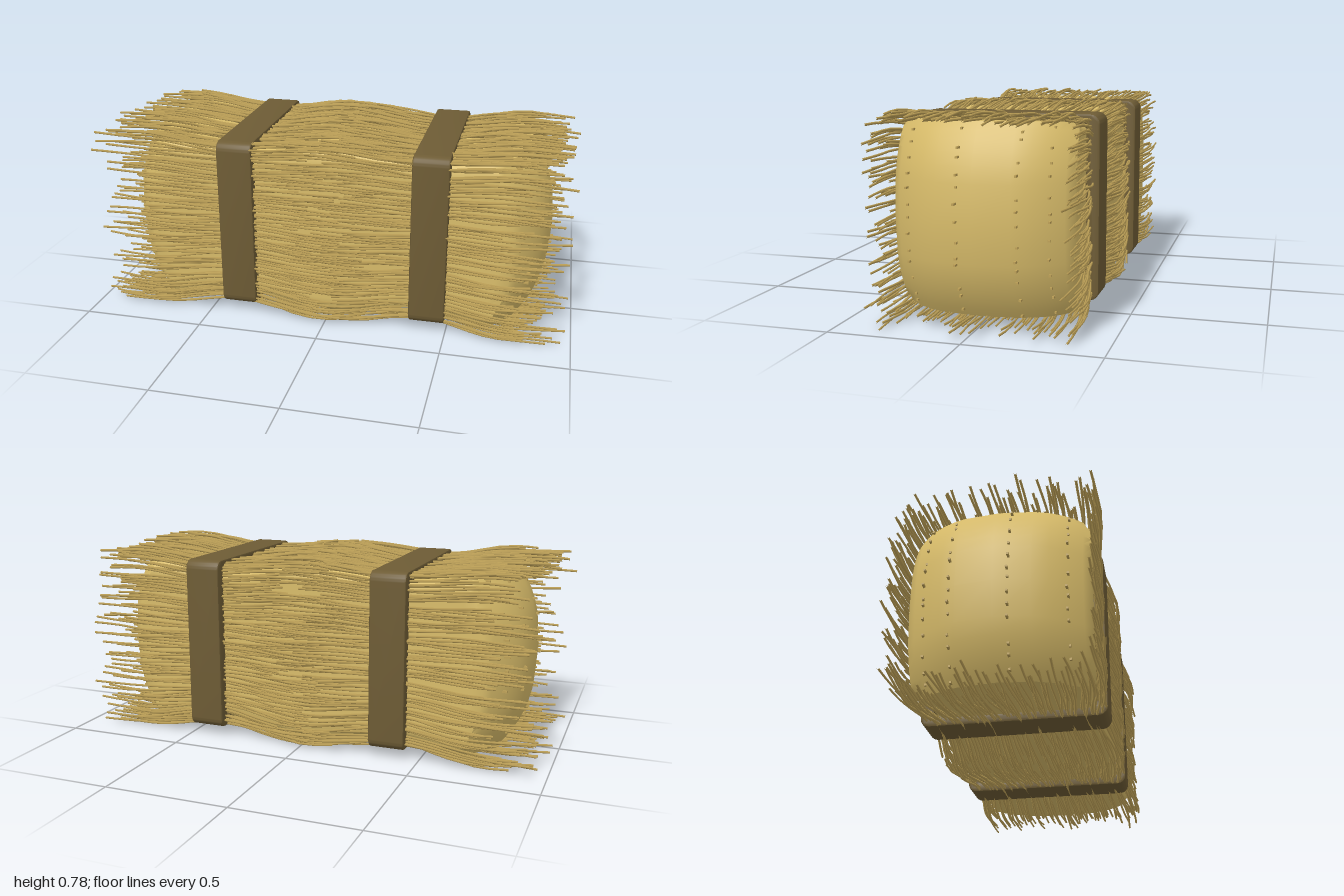
import * as THREE from 'three';
import { mergeGeometries, mergeVertices, toCreasedNormals } from 'three/addons/utils/BufferGeometryUtils.js';

const CENTER_Y = 0.405;

// small seeded generator
let seed = 7;
const rand = (a = 0, b = 1) => {
  seed = (seed * 16807) % 2147483647;
  return a + (b - a) * (seed / 2147483647);
};

// half thickness along the bale: full in the middle, pinched at the straps, flared at the ends
const STATIONS = [[0, 0.36], [0.4, 0.325], [0.75, 0.36], [1.05, 0.355]];
function halfSize(x) {
  const a = Math.abs(x);
  for (let i = 1; i < STATIONS.length; i++) {
    const [x0, h0] = STATIONS[i - 1], [x1, h1] = STATIONS[i];
    if (a <= x1) return THREE.MathUtils.lerp(h0, h1, THREE.MathUtils.smoothstep(a, x0, x1));
  }
  return 0.355;
}

// distance of the bulging end cap from the middle, u across z and v across y (-1..1)
const capX = (u, v) => 0.89 - 0.14 * Math.abs(u) ** 2.5 - 0.10 * Math.abs(v) ** 2.5;

function makeBody(material) {
  let g = new THREE.BoxGeometry(2, 2, 2, 28, 12, 12);
  g.deleteAttribute('uv');
  g.deleteAttribute('normal');
  const p = g.attributes.position;
  const spread = (t) => Math.sign(t) * Math.sqrt(Math.abs(t));
  for (let i = 0; i < p.count; i++) {
    let v = spread(p.getY(i)), u = spread(p.getZ(i));
    const x = p.getX(i) * capX(u, v);
    if (Math.abs(u) > 0.99 && Math.abs(v) > 0.99) { u *= 0.965; v *= 0.965; }
    const h = halfSize(x) - 0.008;
    p.setXYZ(i, x, v * h, u * h * 0.965);
  }
  g = toCreasedNormals(mergeVertices(g, 1e-4), 0.9);
  const mesh = new THREE.Mesh(g, material);
  mesh.name = 'baleBody';
  return mesh;
}

function tube(points, segments) {
  return new THREE.TubeGeometry(new THREE.CatmullRomCurve3(points), segments, 0.0048, 4, false);
}

// one stalk running from the middle of the bale out past one end, on one of the four sides
function makeStalk(side, dir, across) {
  const start = rand(-0.2, 0.12), end = Math.min(1, rand(0.7, 0.93) + rand(0, 0.07));
  const lift = rand(-0.006, 0.021), drift = rand(-0.02, 0.02), wave = rand(0, 6.28);
  const points = [];
  const n = 8;
  for (let i = 0; i <= n; i++) {
    const t = i / n, x = THREE.MathUtils.lerp(start, end, t);
    const h = halfSize(x);
    const out = h + lift + 0.005 * Math.sin(wave + x * 14);
    const along = across * (h + 0.008) + drift * t + 0.005 * Math.sin(wave * 2 + x * 11);
    const [y, z] = [[out, along], [-out, along], [along, out], [along, -out]][side];
    points.push(new THREE.Vector3(x * dir, y, z * 0.985));
  }
  return tube(points, 14);
}

function makeStalks(material) {
  const group = new THREE.Group();
  group.name = 'strawStalks';
  ['top', 'bottom', 'front', 'back'].forEach((name, side) => {
    const parts = [];
    const count = 84;
    for (const dir of [-1, 1]) {
      for (let i = 0; i < count; i++) {
        const across = ((i + rand(0.1, 0.9)) / count) * 2 - 1;
        parts.push(makeStalk(side, dir, across));
      }
    }
    const mesh = new THREE.Mesh(mergeGeometries(parts), material);
    mesh.name = name + 'Stalks';
    group.add(mesh);
  });
  return group;
}

// short stalk tips poking out of the two end faces, in rows
function makeEndTips(material) {
  const parts = [];
  for (const dir of [-1, 1]) {
    for (const z of [0.26, 0.055, -0.16, -0.265]) {
      for (let i = 0; i < 13; i++) {
        const y = -0.33 + i * 0.055 + rand(-0.02, 0.02);
        const x = capX(z / 0.34, y / 0.35), tip = x + rand(0.004, 0.02);
        const g = new THREE.BoxGeometry(0.08, 0.008, 0.008);
        g.translate(dir * (tip - 0.04), y, z + rand(-0.003, 0.003));
        parts.push(g);
      }
    }
  }
  const mesh = new THREE.Mesh(mergeGeometries(parts), material);
  mesh.name = 'endTips';
  return mesh;
}

// rounded rectangle traced into a shape or a hole
function roundedRect(path, w, h, r) {
  path.absarc(w - r, h - r, r, 0, Math.PI / 2);
  path.absarc(-w + r, h - r, r, Math.PI / 2, Math.PI);
  path.absarc(-w + r, -h + r, r, Math.PI, Math.PI * 1.5);
  path.absarc(w - r, -h + r, r, Math.PI * 1.5, Math.PI * 2);
  path.closePath();
  return path;
}

function makeStrap(name, x, z, material) {
  const bevel = 0.008, width = 0.147;
  const shape = roundedRect(new THREE.Shape(), 0.363 - bevel, 0.356 - bevel, 0.03);
  shape.holes.push(roundedRect(new THREE.Path(), 0.318, 0.318, 0.02));
  let g = new THREE.ExtrudeGeometry(shape, {
    depth: width - 2 * bevel, bevelEnabled: true, bevelSize: bevel,
    bevelThickness: bevel, bevelSegments: 2, curveSegments: 5,
  });
  g.translate(0, 0, bevel - width / 2);
  g.rotateY(Math.PI / 2);
  g = toCreasedNormals(g, 0.6);
  const mesh = new THREE.Mesh(g, material);
  mesh.name = name;
  mesh.position.set(x, 0.005, z);
  return mesh;
}

export function createModel() {
  const bodyMaterial = new THREE.MeshStandardMaterial({ color: 0xd8bc6a });
  const stalkMaterial = new THREE.MeshStandardMaterial({ color: 0xbfa258 });
  const strapMaterial = new THREE.MeshStandardMaterial({ color: 0x6e5c35 });
  seed = 7;

  const bale = new THREE.Group();
  bale.name = 'strawBale';
  bale.position.y = CENTER_Y;
  bale.add(
    makeBody(bodyMaterial),
    makeStalks(stalkMaterial),
    makeEndTips(stalkMaterial),
    makeStrap('rightStrap', -0.372, -0.008, strapMaterial),
    makeStrap('leftStrap', 0.422, -0.01, strapMaterial),
  );

  const model = new THREE.Group();
  model.name = 'model';
  model.add(bale);
  return model;
}
